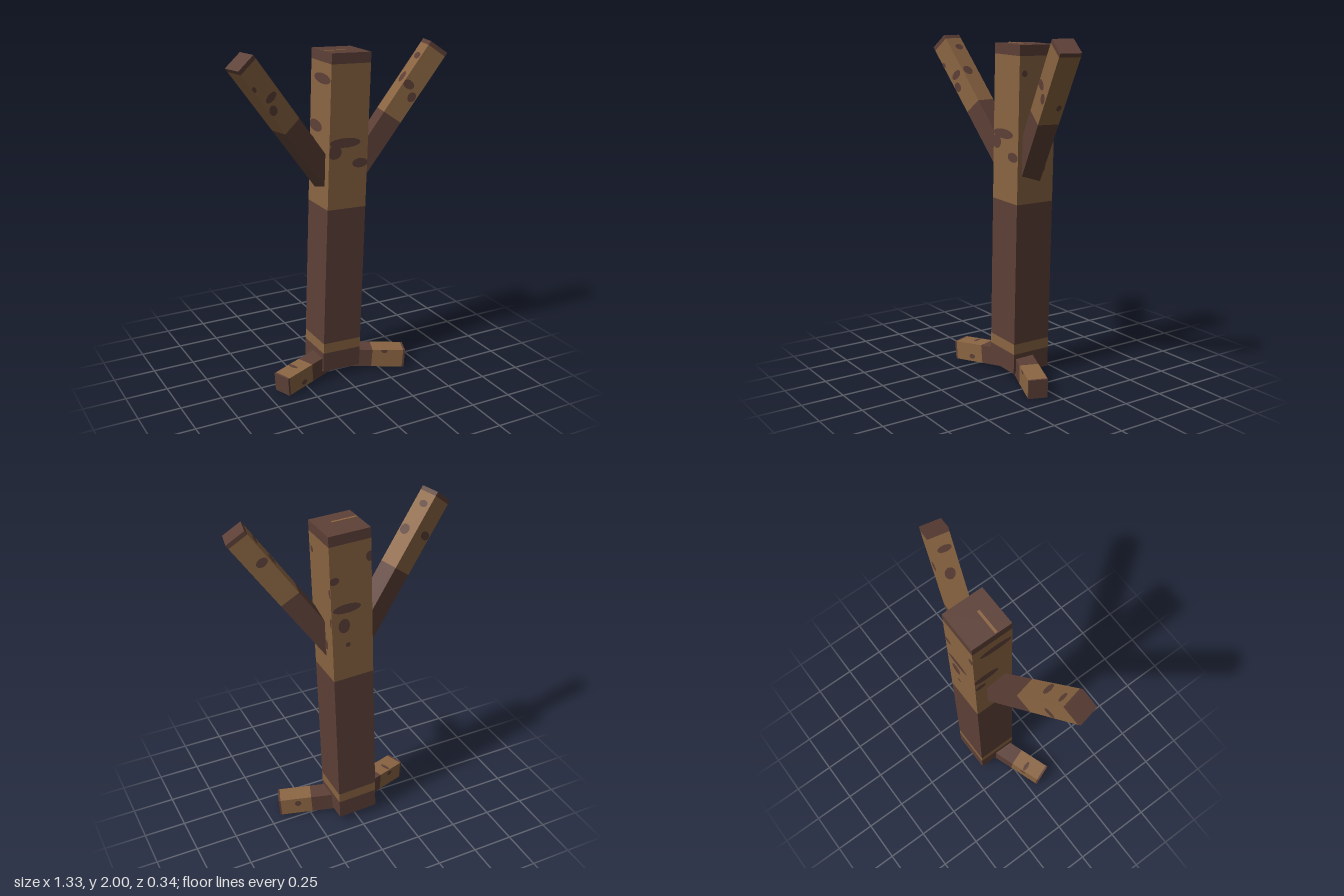
import * as THREE from 'three';

const darkBark = new THREE.MeshStandardMaterial({ color: 0x5d4037 });
darkBark.name = 'dark bark';
const lightBark = new THREE.MeshStandardMaterial({ color: 0x8b6542 });
lightBark.name = 'light bark';

// Square beam along +y made of colour bands; cuts are heights, starting dark and alternating
function beam(name, width, depth, cuts) {
  const group = new THREE.Group();
  group.name = name;
  for (let i = 0; i + 1 < cuts.length; i++) {
    const h = cuts[i + 1] - cuts[i];
    const band = new THREE.Mesh(new THREE.BoxGeometry(width, h, depth), i % 2 ? lightBark : darkBark);
    band.name = i % 2 ? 'lightBand' : 'darkBand';
    band.position.y = cuts[i] + h / 2;
    group.add(band);
  }
  return group;
}

// Flat oval bark spots, trimmed at the beam edges
// each spot: [face 0=+z 1=+x 2=-z 3=-x, offset across, height, radius across, radius up]
function addSpots(group, half, spots) {
  for (const [face, u, y, ru, rv] of spots) {
    const points = [];
    for (let i = 0; i < 14; i++) {
      const a = (i / 14) * Math.PI * 2;
      const x = THREE.MathUtils.clamp(u + ru * Math.cos(a), -half, half);
      points.push(new THREE.Vector2(x, y + rv * Math.sin(a)));
    }
    const geometry = new THREE.ShapeGeometry(new THREE.Shape(points));
    geometry.translate(0, 0, half + 0.002);
    geometry.rotateY((face * Math.PI) / 2);
    const spot = new THREE.Mesh(geometry, darkBark);
    spot.name = 'barkSpot';
    group.add(spot);
  }
}

// Aim a beam sideways and up; side is +1 or -1, tip is the centre of its outer end
function aim(group, side, yawDeg, pitchDeg, tip, length) {
  const yaw = THREE.MathUtils.degToRad(yawDeg);
  const pitch = THREE.MathUtils.degToRad(pitchDeg);
  const along = new THREE.Vector3(
    side * Math.cos(pitch) * Math.cos(yaw), Math.sin(pitch), Math.cos(pitch) * Math.sin(yaw));
  const front = new THREE.Vector3(-side * Math.sin(yaw), 0, Math.cos(yaw));
  const across = new THREE.Vector3().crossVectors(along, front);
  group.quaternion.setFromRotationMatrix(new THREE.Matrix4().makeBasis(across, along, front));
  group.position.set(...tip).addScaledVector(along, -length);
}

export function createModel() {
  const model = new THREE.Group();
  model.name = 'bareTree';

  // Leaning trunk
  const trunk = beam('trunk', 0.247, 0.247, [0, 0.12, 0.183, 1.022, 1.857, 1.917]);
  trunk.position.set(-0.002, 0.048, -0.045);
  trunk.rotation.z = -0.0325;
  addSpots(trunk, 0.1235, [
    [0, -0.025, 1.412, 0.1, 0.028], [0, -0.09, 1.36, 0.045, 0.04], [0, 0.075, 1.288, 0.05, 0.028],
    [1, 0.045, 1.23, 0.022, 0.032], [1, -0.09, 1.76, 0.018, 0.018],
    [1, 0.118, 1.585, 0.014, 0.026], [1, 0.118, 1.4, 0.014, 0.03],
    [2, -0.1, 1.655, 0.03, 0.022], [2, -0.03, 1.475, 0.085, 0.028], [2, -0.05, 1.37, 0.035, 0.045],
    [2, -0.03, 1.245, 0.015, 0.015], [2, 0.115, 1.755, 0.025, 0.03],
    [3, 0.02, 1.765, 0.1, 0.03], [3, -0.05, 1.485, 0.08, 0.035], [3, -0.09, 1.395, 0.035, 0.022],
  ]);
  const streak = new THREE.Mesh(new THREE.BoxGeometry(0.15, 0.004, 0.015), lightBark);
  streak.name = 'topStreak';
  streak.position.set(-0.045, 1.918, 0.03);
  trunk.add(streak);
  model.add(trunk);

  // Two raised branches
  const branches = [
    { name: 'leftBranch', side: 1, pitch: 55, length: 0.93, tip: [0.603, 1.965, 0.08],
      spots: [[0, -0.03, 0.27, 0.038, 0.025], [0, 0.03, 0.32, 0.025, 0.03],
        [3, 0, 0.25, 0.03, 0.035], [3, 0.01, 0.105, 0.04, 0.02], [1, 0.03, 0.36, 0.015, 0.02],
        [2, 0.02, 0.2, 0.035, 0.025]] },
    { name: 'rightBranch', side: -1, pitch: 52, length: 0.97, tip: [-0.605, 1.965, 0.08],
      spots: [[0, 0, 0.25, 0.04, 0.022], [0, -0.035, 0.315, 0.026, 0.03], [0, -0.052, 0.142, 0.012, 0.018],
        [1, 0.01, 0.09, 0.03, 0.02], [1, -0.02, 0.26, 0.035, 0.03],
        [2, 0.02, 0.24, 0.035, 0.025]] },
  ];
  for (const { name, side, pitch, length, tip, spots } of branches) {
    const branch = beam(name, 0.123, 0.123, [0, length - 0.475, length - 0.025, length]);
    addSpots(branch, 0.0615, spots.map(([f, u, t, ru, rv]) => [f, u, length - t, ru, rv]));
    aim(branch, side, 12, pitch, tip, length);
    model.add(branch);
  }

  // Two splayed roots meeting under the trunk
  for (const side of [1, -1]) {
    const length = 0.45;
    const root = beam(side > 0 ? 'leftRoot' : 'rightRoot', 0.113, 0.113, [0, 0.245, length - 0.012, length]);
    addSpots(root, 0.0565, side > 0
      ? [[0, -0.05, 0.32, 0.014, 0.02], [2, 0.02, 0.33, 0.02, 0.02]]
      : [[0, -0.025, 0.32, 0.015, 0.022], [1, 0.02, 0.33, 0.035, 0.012], [2, -0.03, 0.33, 0.015, 0.02]]);
    aim(root, side, 20.5, -4, [side * 0.415, 0.058, 0.113], length);
    model.add(root);
  }
  return model;
}
